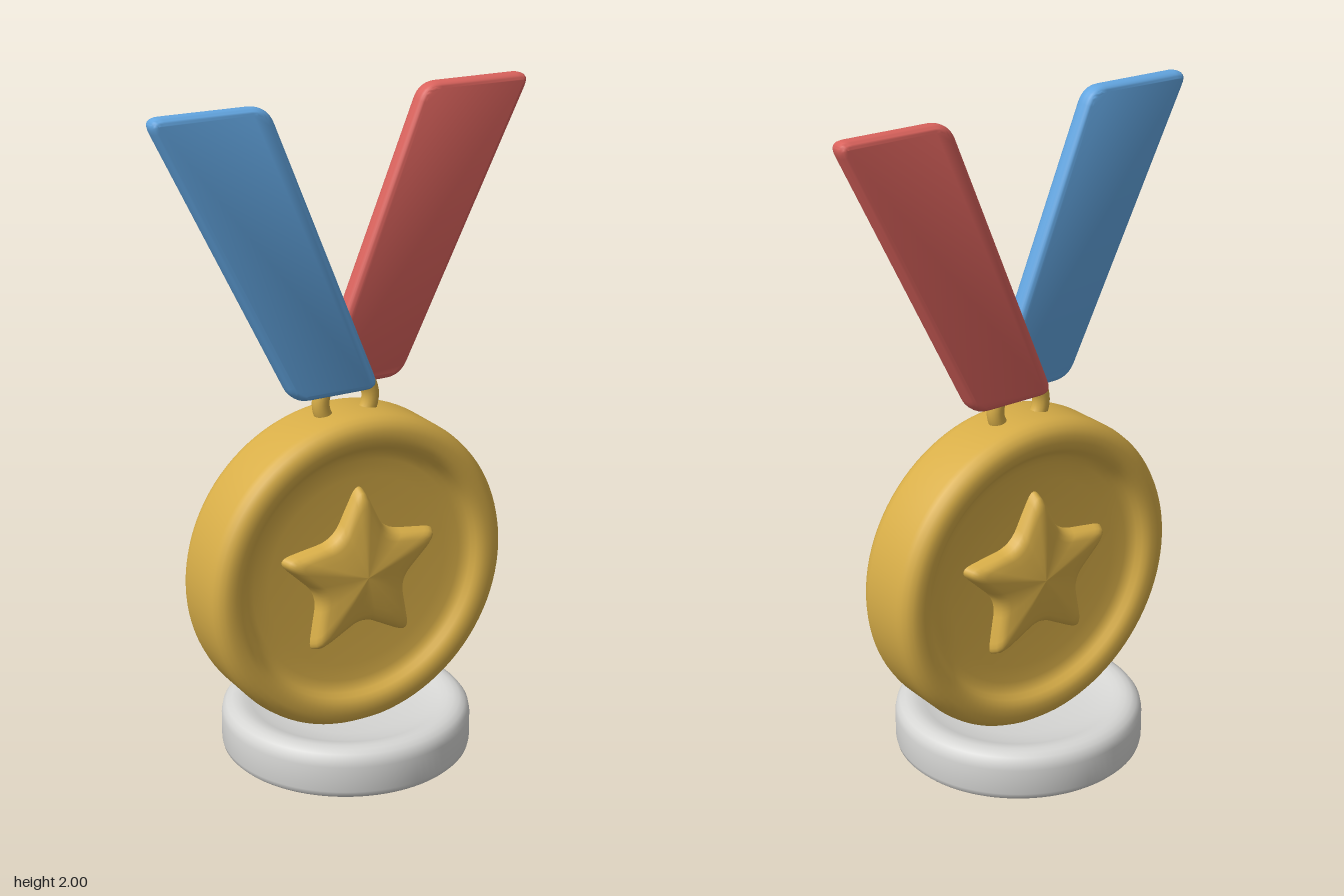
import * as THREE from 'three';
import { toCreasedNormals } from 'three/addons/utils/BufferGeometryUtils.js';

const material = (name, color) => {
  const m = new THREE.MeshStandardMaterial({ color });
  m.name = name;
  return m;
};

const V = (x, y) => new THREE.Vector2(x, y);

// Closed polygon whose corners are rounded, starting d before each corner
function roundedShape(corners, d) {
  const shape = new THREE.Shape();
  const n = corners.length;
  corners.forEach((c, i) => {
    const toward = (p) => p.clone().sub(c).setLength(d).add(c);
    const a = toward(corners[(i + n - 1) % n]);
    const b = toward(corners[(i + 1) % n]);
    if (i === 0) shape.moveTo(a.x, a.y);
    else shape.lineTo(a.x, a.y);
    shape.quadraticCurveTo(c.x, c.y, b.x, b.y);
  });
  shape.closePath();
  return shape;
}

// Turned solid from [radius, height] pairs, smooth within the crease angle
function turned(pairs) {
  const g = new THREE.LatheGeometry(pairs.map(([r, y]) => V(r, y)), 96);
  return toCreasedNormals(g, 0.7);
}

// Puffed star: one outline repeated at [scale, height] steps up to the centre
function starGeometry() {
  const corners = [];
  for (let i = 0; i < 10; i++) {
    const a = Math.PI / 2 + (i * Math.PI) / 5;
    const r = i % 2 ? 0.147 : 0.297;
    corners.push(V(Math.cos(a) * r, Math.sin(a) * r));
  }
  const outline = roundedShape(corners, 0.055).getPoints(6).slice(0, -1);
  const layers = [[1, 0.06], [0.98, 0.08], [0.94, 0.1], [0.88, 0.113],
    [0.78, 0.119], [0.6, 0.125], [0.3, 0.133], [0, 0.137]];
  const n = outline.length;
  const position = [];
  const index = [];
  layers.forEach(([s, z], k) => {
    outline.forEach((p, j) => {
      position.push(p.x * s, p.y * s, z);
      if (k === 0) return;
      const j2 = (j + 1) % n;
      const a = (k - 1) * n + j, b = (k - 1) * n + j2;
      const c = k * n + j2, d = k * n + j;
      index.push(a, b, c, a, c, d);
    });
  });
  const g = new THREE.BufferGeometry();
  g.setAttribute('position', new THREE.Float32BufferAttribute(position, 3));
  g.setIndex(index);
  g.computeVertexNormals();
  return g;
}

// Slanted strap with soft edges, running from the ring up and out to the left
function ribbonGeometry() {
  const shape = roundedShape(
    [V(-0.195, 1.14), V(0.087, 1.14), V(-0.268, 2), V(-0.63, 2)], 0.05);
  const g = new THREE.ExtrudeGeometry(shape, {
    depth: 0.01, bevelThickness: 0.025, bevelSize: 0.018, bevelOffset: -0.018,
    bevelSegments: 5, curveSegments: 8,
  });
  g.translate(0, 0, 0.028);
  return toCreasedNormals(g, 0.7);
}

export function createModel() {
  const gold = material('gold', 0xd8ae48);
  const blue = material('blue', 0x62a5e0);
  const red = material('red', 0xd9625c);
  const grey = material('light grey', 0xd6d6d4);

  const model = new THREE.Group();
  model.name = 'medalOnStand';
  const add = (name, geometry, mat, parent = model) => {
    const mesh = new THREE.Mesh(geometry, mat);
    mesh.name = name;
    parent.add(mesh);
    return mesh;
  };

  // Round stand with a shallow dish on top
  add('stand', turned([
    [0, 0], [0.355, 0], [0.368, 0.004], [0.376, 0.012], [0.379, 0.025],
    [0.379, 0.105], [0.375, 0.125], [0.364, 0.14], [0.348, 0.149], [0.33, 0.152],
    [0.31, 0.15], [0.29, 0.143], [0.26, 0.133], [0.2, 0.122], [0.1, 0.115], [0, 0.113],
  ]), grey);

  // Medal: the same rim and dished face on both sides
  const medal = new THREE.Group();
  medal.name = 'medal';
  medal.position.y = 0.59;
  model.add(medal);
  const half = [
    [0.49, 0.07], [0.487, 0.087], [0.478, 0.103], [0.464, 0.115], [0.447, 0.12],
    [0.425, 0.12], [0.408, 0.116], [0.395, 0.106], [0.384, 0.092], [0.37, 0.082],
    [0.35, 0.078], [0.3, 0.075], [0.2, 0.072], [0, 0.07],
  ];
  const profile = [...half].reverse().map(([r, z]) => [r, -z]).concat(half);
  const disc = turned(profile);
  disc.rotateX(Math.PI / 2);
  add('medalDisc', disc, gold, medal);

  // Raised star on each face
  const star = starGeometry();
  add('frontStar', star, gold, medal);
  add('backStar', star, gold, medal).rotation.y = Math.PI;

  // Hanging ring
  const ring = add('hangingRing', new THREE.TorusGeometry(0.083, 0.026, 16, 48), gold);
  ring.position.y = 1.107;

  // Crossed ribbons: the back one is the front one turned half round
  const ribbon = ribbonGeometry();
  add('frontRibbon', ribbon, blue);
  add('backRibbon', ribbon, red).rotation.y = Math.PI;

  return model;
}
